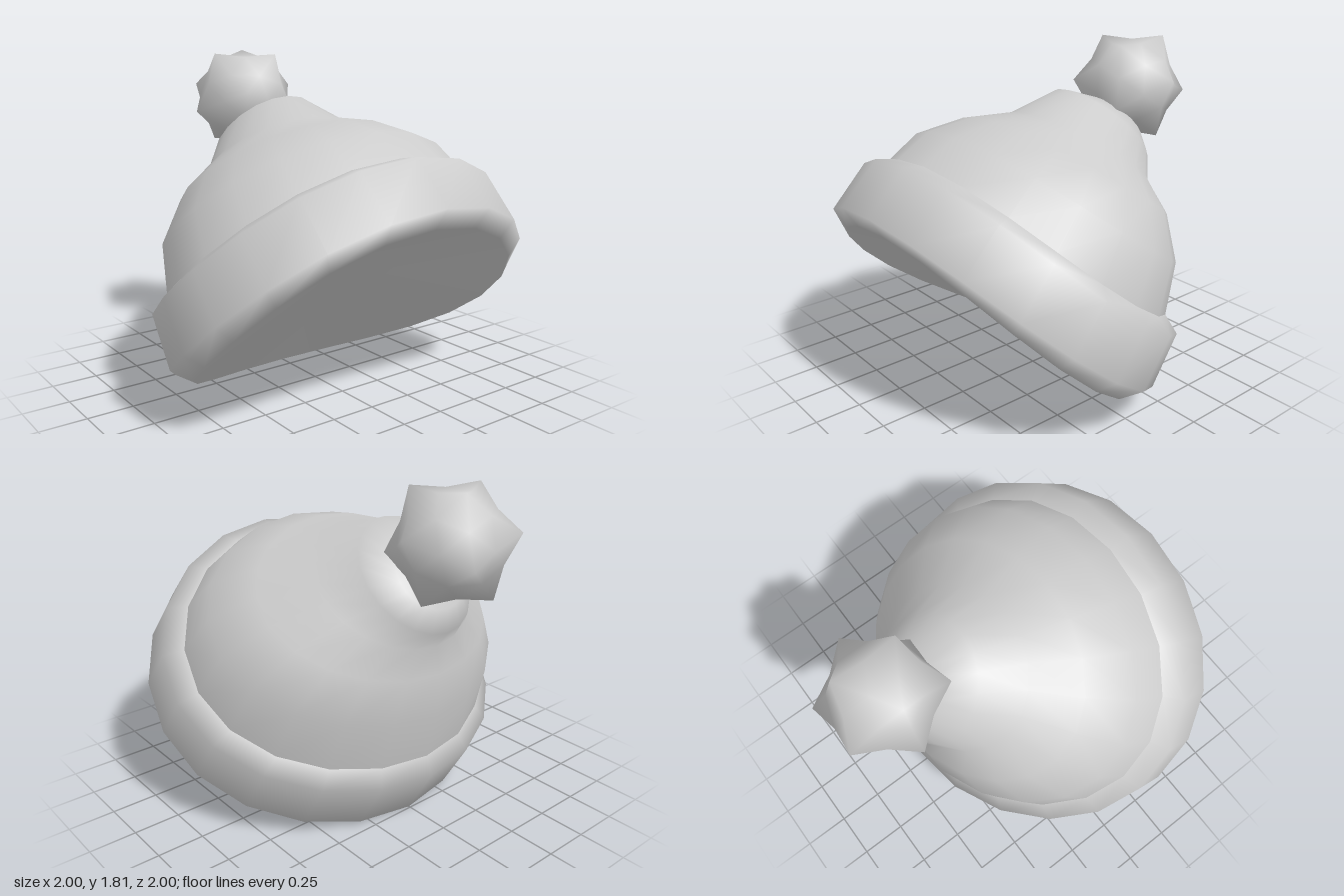
import * as THREE from 'three';
import { mergeVertices } from 'three/addons/utils/BufferGeometryUtils.js';

const SIDES = 20;

// One tilted ring: front point (z, y), back point (z, y), half width, sag of the sides
function ringPoints([fz, fy, bz, by, halfWidth, sag]) {
  const dz = fz - bz, dy = fy - by;
  const len = Math.hypot(dz, dy) || 1;
  const points = [];
  for (let j = 0; j < SIDES; j++) {
    const a = (j / SIDES) * Math.PI * 2;
    const c = Math.cos(a), s = Math.sin(a);
    const drop = sag * s * s;
    points.push(
      halfWidth * s,
      (fy + by) / 2 + (dy / 2) * c - (dz / len) * drop,
      (fz + bz) / 2 + (dz / 2) * c + (dy / len) * drop
    );
  }
  return points;
}

// Skin a stack of rings; an optional [z, y] point closes either end
function skin(rings, startTip, endTip) {
  const pos = rings.flatMap(ringPoints);
  const index = [];
  for (let i = 0; i < rings.length - 1; i++) {
    for (let j = 0; j < SIDES; j++) {
      const k = (j + 1) % SIDES;
      const a = i * SIDES + j, b = i * SIDES + k;
      index.push(a, b, b + SIDES, a, b + SIDES, a + SIDES);
    }
  }
  const close = (tip, row, flip) => {
    const t = pos.length / 3;
    pos.push(0, tip[1], tip[0]);
    for (let j = 0; j < SIDES; j++) {
      const a = row * SIDES + j, b = row * SIDES + ((j + 1) % SIDES);
      if (flip) index.push(b, a, t);
      else index.push(a, b, t);
    }
  };
  if (startTip) close(startTip, 0, true);
  if (endTip) close(endTip, rings.length - 1, false);
  const g = new THREE.BufferGeometry();
  g.setAttribute('position', new THREE.Float32BufferAttribute(pos, 3));
  g.setIndex(index);
  g.computeVertexNormals();
  return g;
}

// Orthonormal frame from two directions
function frame(a, b) {
  const x = a.clone().normalize();
  const z = x.clone().cross(b).normalize();
  return new THREE.Matrix4().makeBasis(x, z.clone().cross(x), z);
}

// Ball with twelve soft points
function pompomGeometry() {
  let g = new THREE.IcosahedronGeometry(1, 1);
  g.deleteAttribute('normal');
  g.deleteAttribute('uv');
  g = mergeVertices(g, 1e-3);
  const p = g.attributes.position;
  const v = new THREE.Vector3();
  for (let i = 0; i < p.count; i++) {
    v.fromBufferAttribute(p, i).normalize();
    const m = [v.x, v.y, v.z].map(Math.abs);
    const isPoint = Math.min(...m) < 0.01 && Math.max(...m) < 0.9;
    v.multiplyScalar(isPoint ? 0.33 : 0.26);
    p.setXYZ(i, v.x, v.y, v.z);
  }
  const phi = (1 + Math.sqrt(5)) / 2;
  const from = frame(new THREE.Vector3(-1, phi, 0), new THREE.Vector3(0, -1, phi));
  const to = frame(new THREE.Vector3(0.09, 0.27, -0.16), new THREE.Vector3(-0.15, 0.02, 0.28));
  g.applyMatrix4(to.multiply(from.transpose()));
  g.computeVertexNormals();
  return g;
}

export function createModel() {
  const group = new THREE.Group();
  group.name = 'bobbleHat';
  const wool = new THREE.MeshStandardMaterial({ color: 0xcccccc });
  wool.name = 'greyWool';

  const add = (name, geometry) => {
    const mesh = new THREE.Mesh(geometry, wool);
    mesh.name = name;
    group.add(mesh);
    return mesh;
  };

  const seam = [0.68, 1.34, -0.61, 0.38, 0.9, 0.13];

  // Rolled brim with the shallow recess under the hat
  add('brim', skin([
    [0.93, 1.04, -0.33, 0.01, 0.92, 0.14],
    [1.0, 1.15, -0.49, 0.01, 1.0, 0.13],
    [0.79, 1.36, -0.65, 0.28, 1.0, 0.14],
    seam,
  ], [0.2, 0.67]));

  // Crown leaning back into a narrow neck
  add('crown', skin([
    seam,
    [0.5, 1.45, -0.67, 0.64, 0.85, 0.08],
    [0.25, 1.49, -0.68, 0.87, 0.67, 0.04],
    [0, 1.485, -0.65, 1.01, 0.44, 0],
    [-0.25, 1.58, -0.72, 1.1, 0.31, 0],
    [-0.46, 1.51, -0.71, 1.22, 0.2, 0],
  ], null, [-0.6, 1.38]));

  // Pompom on the tip
  add('pompom', pompomGeometry()).position.set(0, 1.545, -0.715);

  return group;
}
